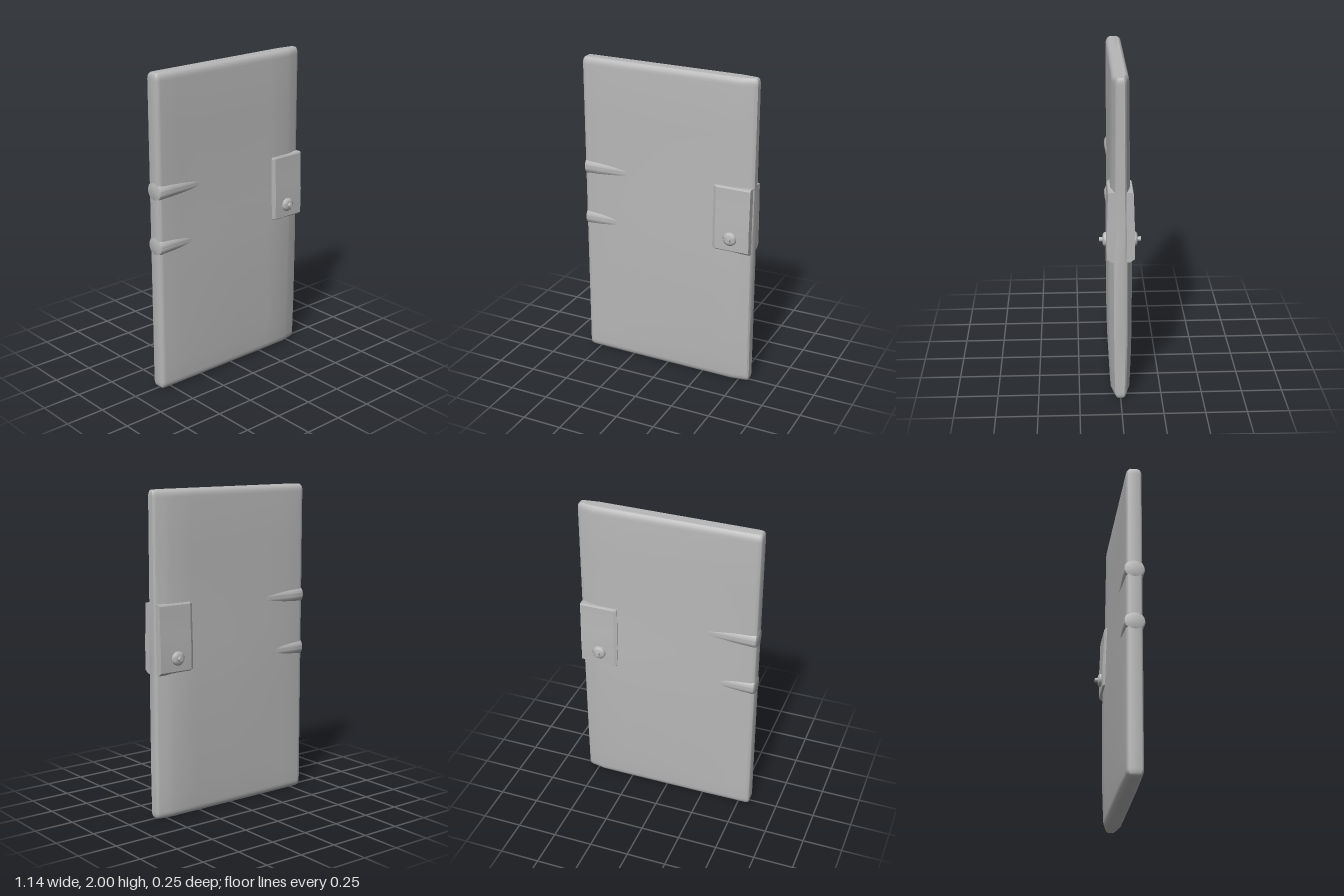
import * as THREE from 'three';
import { toCreasedNormals } from 'three/addons/utils/BufferGeometryUtils.js';

const grey = new THREE.MeshStandardMaterial({ color: 0xb8b8b8 });
grey.name = 'plain grey';

// Piecewise linear lookup through [position, value] pairs
function sample(pairs, p) {
  for (let i = 1; i < pairs.length; i++) {
    const [a, va] = pairs[i - 1], [b, vb] = pairs[i];
    if (p <= b) return va + (vb - va) * Math.max(0, (p - a) / (b - a));
  }
  return pairs[pairs.length - 1][1];
}

// Extra thickness across the width and up the height
const swellX = [[-0.57, 0], [-0.42, 0.25], [-0.28, 0.6], [0.3, 1], [0.57, 1]];
const swellY = [[0, 0.008], [0.3, 0.019], [0.75, 0.022], [0.92, 0.02], [1.35, 0.008], [2, 0.001]];
// Right-hand bevel and rounded outer edges, as a share of the thickness
const edgeX = [[-0.573, 0.72], [-0.569, 0.86], [-0.56, 0.96], [-0.545, 1], [0.46, 1], [0.545, 0.65], [0.56, 0.57], [0.568, 0.4]];
const rim = [[0, 0.6], [0.006, 0.76], [0.016, 0.9], [0.03, 0.98], [0.045, 1]];
const rimInset = [[0, 0.012], [0.006, 0.006], [0.016, 0.002], [0.03, 0]];

function panelGeometry() {
  const xs = [-0.573, -0.569, -0.56, -0.545, -0.42, -0.28, 0, 0.3, 0.46, 0.5, 0.545, 0.56, 0.568];
  const ys = [0, 0.006, 0.016, 0.03, 0.045, 0.15, 0.3, 0.55, 0.75, 0.92, 1.1, 1.35, 1.65, 1.955, 1.97, 1.984, 1.994, 2];
  const pos = [], index = [], n = xs.length * 2;
  for (const y of ys) {
    const d = Math.min(y, 2 - y);
    const ring = xs.map((x) => {
      const body = 0.049 + sample(swellX, x) * sample(swellY, y);
      const px = x * (1 - sample(rimInset, d) / 0.57);
      return [px, body * sample(edgeX, x) * sample(rim, d)];
    });
    ring.forEach(([x, h]) => pos.push(x, y, h));
    ring.slice().reverse().forEach(([x, h]) => pos.push(x, y, -h));
  }
  for (let j = 0; j < ys.length - 1; j++) {
    for (let i = 0; i < n; i++) {
      const a = j * n + i, b = j * n + (i + 1) % n;
      index.push(a, b, b + n, a, b + n, a + n);
    }
  }
  // End caps
  const low = pos.length / 3, high = low + 1, top = (ys.length - 1) * n;
  pos.push(0, 0, 0, 0, 2, 0);
  for (let i = 0; i < n; i++) {
    const k = (i + 1) % n;
    index.push(low, k, i, high, top + i, top + k);
  }
  const geo = new THREE.BufferGeometry();
  geo.setAttribute('position', new THREE.Float32BufferAttribute(pos, 3));
  geo.setIndex(index);
  return toCreasedNormals(geo, 0.6);
}

// Clip block: side profile extruded across x, left edge pinched in
function clipGeometry() {
  const half = [[0.9, 0.055], [0.92, 0.082], [1.08, 0.083], [1.16, 0.079], [1.25, 0.076], [1.32, 0.075], [1.33, 0.07]];
  const outline = [
    ...half.map(([y, z]) => new THREE.Vector2(z, y)),
    ...half.slice().reverse().map(([y, z]) => new THREE.Vector2(-z, y)),
  ];
  const width = 0.242;
  const geo = new THREE.ExtrudeGeometry(new THREE.Shape(outline), { depth: width, steps: 12, bevelEnabled: false });
  const p = geo.attributes.position;
  for (let i = 0; i < p.count; i++) {
    const along = p.getZ(i);
    // The extrusion runs from the right edge towards the left one
    const pinch = along > width - 0.01 ? 0.86 : 1;
    p.setXYZ(i, 0.562 - along, p.getY(i), p.getX(i) * pinch);
  }
  // Axis swap mirrors once and the reversed x mirrors back
  return toCreasedNormals(geo, 0.35);
}

export function createModel() {
  const model = new THREE.Group();
  model.name = 'doorPanel';
  const add = (geometry, name, parent = model) => {
    const mesh = new THREE.Mesh(geometry, grey);
    mesh.name = name;
    parent.add(mesh);
    return mesh;
  };

  add(panelGeometry(), 'panel');
  add(clipGeometry(), 'clip');

  // Hinge ridges that sink into the panel
  for (const y of [0.945, 1.29]) {
    const profile = [[0, 0], [0.05, 0], [0.059, 0.004], [0.063, 0.014], [0.062, 0.1], [0.056, 0.3], [0, 0.3]];
    const geo = new THREE.LatheGeometry(profile.map(([r, l]) => new THREE.Vector2(r, l)), 48);
    geo.rotateZ(-Math.PI / 2);
    const ridge = add(toCreasedNormals(geo, 0.7), 'hingeRidge');
    ridge.position.set(-0.574, y, 0);
  }

  // Domed bolt on each face
  for (const side of [1, -1]) {
    const bolt = new THREE.Group();
    bolt.name = side > 0 ? 'frontBolt' : 'backBolt';
    const dome = [[0.043, 0], [0.043, 0.009], [0.038, 0.016], [0.028, 0.021], [0, 0.023]];
    add(toCreasedNormals(new THREE.LatheGeometry(dome.map(([r, h]) => new THREE.Vector2(r, h)), 24), 0.7), 'boltHead', bolt);
    const pin = add(new THREE.CylinderGeometry(0.014, 0.014, 0.04, 16), 'boltPin', bolt);
    pin.position.y = 0.021;
    bolt.rotation.x = side * Math.PI / 2;
    bolt.position.set(0.44, 1, side * 0.082);
    model.add(bolt);
  }
  return model;
}
